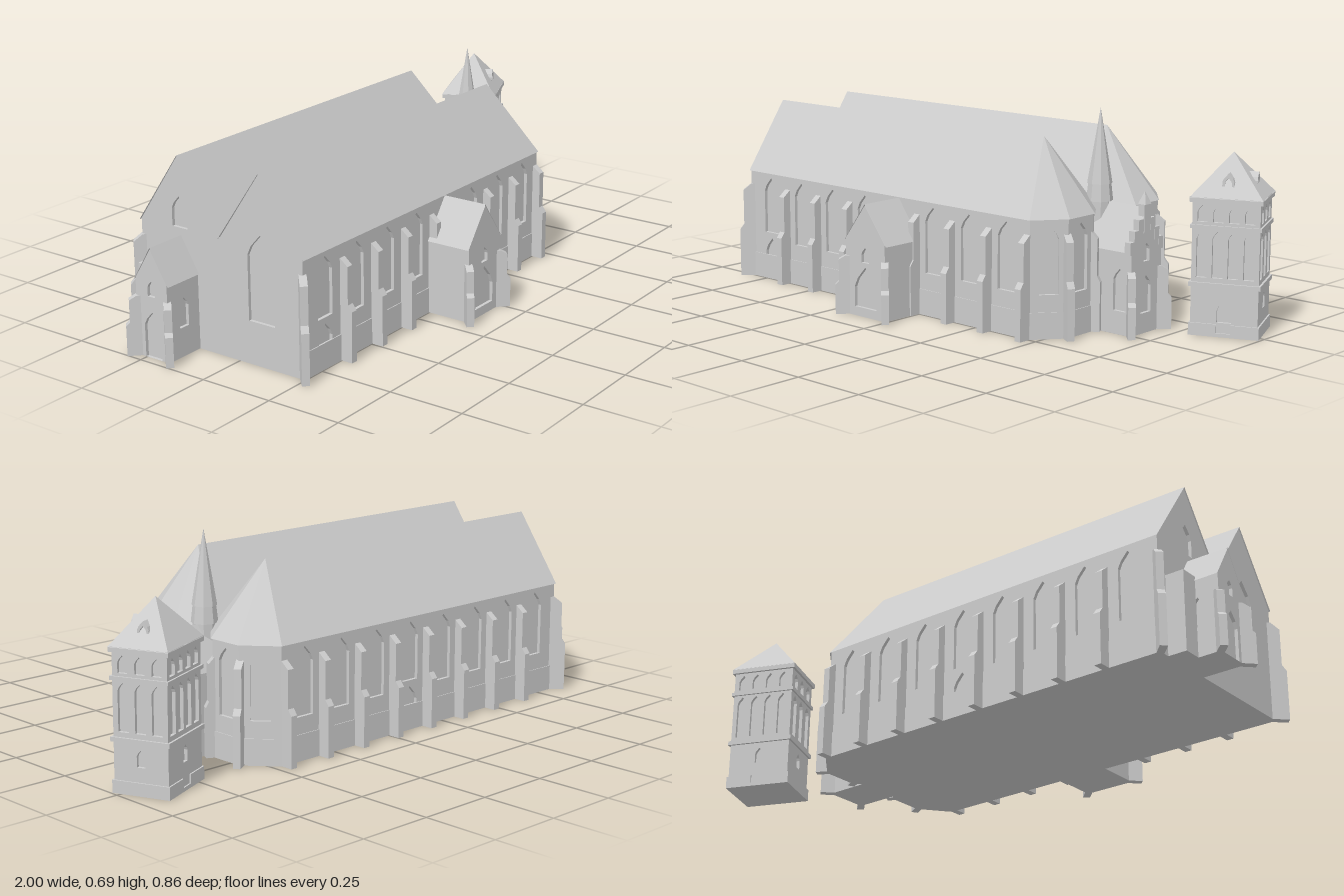
import * as THREE from 'three';

const stone = new THREE.MeshStandardMaterial({ color: 0xcccccc, side: THREE.DoubleSide, flatShading: true });
stone.name = 'grey stone';

function add(parent, name, geo, x = 0, y = 0, z = 0, ry = 0) {
  const m = new THREE.Mesh(geo, stone);
  m.name = name;
  m.position.set(x, y, z);
  m.rotation.y = ry;
  parent.add(m);
  return m;
}
const box = (p, name, w, h, d, x, y, z, ry) => add(p, name, new THREE.BoxGeometry(w, h, d), x, y, z, ry);
const poly = pts => new THREE.Shape(pts.map(p => new THREE.Vector2(p[0], p[1])));
const rect = (w, y0, y1) => [[-w / 2, y0], [w / 2, y0], [w / 2, y1], [-w / 2, y1]];

// Pointed opening: centre, width, sill, tip
function arch(cx, w, y0, y1) {
  const s = y1 - w * 0.7, h = w / 2, b = w * 0.3;
  return [[cx - h, y0], [cx + h, y0], [cx + h, s], [cx + h * 0.72, s + b], [cx, y1], [cx - h * 0.72, s + b], [cx - h, s]];
}

// Wall facing local +z with recessed pointed openings
function wall(p, name, pts, holes, x, z, ry, depth = 0.012, y = 0) {
  const g = new THREE.Group();
  g.name = name;
  const s = poly(pts);
  s.holes = holes.map(poly);
  add(g, 'wallFace', new THREE.ExtrudeGeometry(s, { depth, bevelEnabled: false }), 0, 0, -depth);
  add(g, 'recessedPane', new THREE.ShapeGeometry(poly(pts)), 0, 0, -depth + 0.001);
  g.position.set(x, y, z);
  g.rotation.y = ry;
  p.add(g);
  return g;
}

// Faces given as corner loops, fan triangulated
function faces(list) {
  const v = [];
  for (const f of list) for (let i = 1; i < f.length - 1; i++) v.push(...f[0], ...f[i], ...f[i + 1]);
  const g = new THREE.BufferGeometry();
  g.setAttribute('position', new THREE.Float32BufferAttribute(v, 3));
  g.computeVertexNormals();
  return g;
}

// Stepped buttress leaning outward along (nx, nz)
function buttress(p, x, z, nx, nz, h = 0.33, out = 0.043) {
  const s = poly([[-0.012, 0], [out, 0], [out, h * 0.5], [out * 0.66, h * 0.56], [out * 0.66, h * 0.93], [0, h], [-0.012, h]]);
  const g = new THREE.ExtrudeGeometry(s, { depth: 0.024, bevelEnabled: false });
  g.translate(0, 0, -0.012);
  add(p, 'buttress', g, x, 0, z, Math.atan2(-nz, nx));
}

// Gabled annex: gable at local z = 0, running back to z = -len
function annex(p, name, w, len, eave, ridge, gableHoles, sideHoles, x, z, ry, bh) {
  const g = new THREE.Group();
  g.name = name;
  const h = w / 2, o = 0.005;
  wall(g, 'gable', [[-h, 0], [h, 0], [h, eave], [0, ridge], [-h, eave]], gableHoles, 0, 0, 0);
  for (const s of [-1, 1]) {
    wall(g, 'sideWall', rect(len, 0, eave), sideHoles, s * h, -len / 2, s * Math.PI / 2);
    buttress(g, s * h, 0, s, 1, bh, 0.035);
  }
  add(g, 'roof', faces([
    [[h + o, eave - o, 0], [h + o, eave - o, -len], [0, ridge + o, -len], [0, ridge + o, 0]],
    [[-h - o, eave - o, -len], [-h - o, eave - o, 0], [0, ridge + o, 0], [0, ridge + o, -len]],
  ]));
  add(g, 'floor', new THREE.PlaneGeometry(w, len).rotateX(Math.PI / 2), 0, 0, -len / 2);
  g.position.set(x, 0, z);
  g.rotation.y = ry;
  p.add(g);
  return g;
}

const EAVE = 0.38, RIDGE = 0.61, WEST = -0.83, EAST = 0.47, HALF = 0.157, VALLEY = -0.068;

function church(root) {
  const g = new THREE.Group();
  g.name = 'church';
  root.add(g);
  const zf = VALLEY + 2 * HALF, zb = VALLEY - 2 * HALF, c1 = VALLEY + HALF, c2 = VALLEY - HALF;
  // Plan outline, front wall first, then around the two apses
  const plan = [[WEST, zf], [EAST, zf], [0.545, c1 + 0.062], [0.545, c1 - 0.058], [EAST, VALLEY],
    [0.555, c2 + 0.06], [0.555, c2 - 0.06], [EAST, zb], [WEST, zb]];
  add(g, 'floor', new THREE.ShapeGeometry(poly(plan)).rotateX(Math.PI / 2));
  const mid = (WEST + EAST) / 2;
  const bays = (dir, doorBay, skip) => {
    const holes = [];
    for (let i = 0; i < 8; i++) {
      if (i === skip) continue;
      const x = dir * (-0.725 + 0.157 * i - mid);
      holes.push(arch(x, 0.07, i === doorBay ? 0.165 : 0.14, 0.36));
      if (i === doorBay) holes.push(arch(x, 0.065, 0.03, 0.145));
    }
    return holes;
  };
  for (let i = 0; i < 8; i++) {
    const [a, b] = [plan[i], plan[i + 1]];
    const dx = b[0] - a[0], dz = b[1] - a[1], len = Math.hypot(dx, dz);
    const holes = i === 0 ? bays(1, 0, 4) : i === 7 ? bays(-1, 4, -1)
      : i === 3 || i === 4 ? [] : [arch(0, 0.062, 0.14, 0.357)];
    const w = wall(g, 'naveWall', rect(len, 0, EAVE), holes, (a[0] + b[0]) / 2, (a[1] + b[1]) / 2, Math.atan2(-dz, dx));
    box(w, 'plinth', len, 0.085, 0.006, 0, 0.0425, 0);
  }
  // Double west gable
  const t = zf - VALLEY;
  wall(g, 'westGable', [[-t, 0], [t, 0], [t, EAVE], [HALF, RIDGE], [0, EAVE], [-HALF, RIDGE], [-t, EAVE]],
    [arch(HALF, 0.1, 0.14, 0.42), arch(-HALF, 0.06, 0.38, 0.48)], WEST, VALLEY, -Math.PI / 2);
  // Twin roofs with hipped east ends
  [[c1, 0.55], [c2, 0.56]].forEach(([c, xe]) => {
    const y = EAVE - 0.004, f = c + HALF + 0.005, b = c - HALF - 0.005;
    const R0 = [WEST - 0.004, RIDGE, c], R1 = [0.39, RIDGE, c], Wf = [WEST - 0.004, y, f], Wb = [WEST - 0.004, y, b];
    const Ef = [EAST + 0.003, y, f], Eb = [EAST + 0.003, y, b], C1 = [xe, y, c + 0.062], C2 = [xe, y, c - 0.06];
    add(g, 'naveRoof', faces([[Wf, Ef, R1, R0], [Ef, C1, R1], [C1, C2, R1], [C2, Eb, R1], [Eb, Wb, R0, R1]]));
  });
  // Buttresses along the flanks, at west corners and around the apses
  for (let i = 0; i < 8; i++) {
    const x = -0.64 + 0.157 * i;
    buttress(g, x, zf, 0, 1);
    buttress(g, x, zb, 0, -1);
  }
  buttress(g, WEST, zf, -1, 1);
  buttress(g, WEST, zb, -1, -1);
  buttress(g, 0.54, plan[2][1], 1, 0.6);
  buttress(g, 0.54, plan[3][1], 1, -0.5, 0.32, 0.03);
  buttress(g, 0.55, plan[5][1], 1, 0.5, 0.32, 0.03);
  buttress(g, 0.55, plan[6][1], 1, -0.6);

  // South and west porches, east sacristy
  annex(g, 'southPorch', 0.18, 0.157, 0.25, 0.368, [arch(0, 0.1, 0.03, 0.165), arch(0, 0.035, 0.18, 0.23)],
    [], -0.095, 0.4, 0, 0.195);
  annex(g, 'westPorch', 0.125, 0.145, 0.25, 0.352, [arch(0, 0.065, 0.0, 0.15), arch(0, 0.03, 0.2, 0.25)],
    [arch(0, 0.04, 0.095, 0.19)], -0.97, -0.222, -Math.PI / 2, 0.195);
  box(g, 'westStairBlock', 0.065, 0.26, 0.062, -0.86, 0.13, -0.314);
  const s = annex(g, 'sacristy', 0.15, 0.19, 0.27, 0.395, [arch(0, 0.05, 0.065, 0.185), arch(0, 0.03, 0.23, 0.288)],
    [arch(0.05, 0.05, 0.075, 0.21)], 0.68, -0.065, Math.PI / 2, 0.205);
  // Stepped gable coping and its pinnacle
  for (const d of [-1, 1]) for (let i = 0; i < 3; i++)
    box(s, 'gableStep', 0.022, 0.04, 0.022, d * (0.03 + i * 0.021), 0.345 - i * 0.033, -0.01);
  box(s, 'pinnacleBase', 0.032, 0.09, 0.024, 0, 0.365, -0.01);
  add(s, 'pinnacleTip', new THREE.ConeGeometry(0.021, 0.04, 4, 1).rotateY(Math.PI / 4), 0, 0.43, -0.01);

  // Stair turret with spire
  const px = 0.495, pz = -0.06;
  add(g, 'turretShaft', new THREE.CylinderGeometry(0.037, 0.037, 0.4, 8), px, 0.2, pz);
  add(g, 'turretCornice', new THREE.CylinderGeometry(0.036, 0.043, 0.06, 8), px, 0.43, pz);
  add(g, 'spire', new THREE.ConeGeometry(0.04, 0.24, 8), px, 0.575, pz);
}

function bellTower(root) {
  const g = new THREE.Group();
  g.name = 'bellTower';
  g.position.set(0.857, 0, -0.267);
  g.rotation.y = 0.4;
  root.add(g);
  const W = 0.212, D = 0.177;
  const row = (n, len, w, y0, y1) => Array.from({ length: n }, (_, i) => arch((i - (n - 1) / 2) * len / n * 0.93, w, y0, y1));
  // Four walls of one storey
  const storey = (name, y0, y1, holes) => {
    for (let k = 0; k < 4; k++) {
      const len = k % 2 ? D : W, off = (k % 2 ? W : D) / 2, a = k * Math.PI / 2;
      wall(g, name, rect(len, y0, y1), holes(k, len), Math.sin(a) * off, Math.cos(a) * off, a);
    }
  };
  storey('lowerStorey', 0, 0.165, k => k === 0 ? [arch(0, 0.046, 0.045, 0.115)] : [arch(0, 0.028, 0.085, 0.137)]);
  storey('middleStorey', 0.165, 0.345, (k, len) => row(k % 2 ? 3 : 4, len, 0.034, 0.185, 0.332));
  storey('upperStorey', 0.345, 0.425, (k, len) => row(k % 2 ? 3 : 4, len, 0.032, 0.36, 0.413));
  // Plinth split around the door
  const pw = (W + 0.01 - 0.046) / 2;
  for (const s of [-1, 1]) box(g, 'plinth', pw, 0.04, D + 0.01, s * (0.023 + pw / 2), 0.02, 0);
  box(g, 'doorStep', 0.046, 0.012, D + 0.01, 0, 0.006, 0);
  for (const [y, h, o] of [[0.163, 0.014, 0.014], [0.345, 0.012, 0.012], [0.43, 0.016, 0.016]])
    box(g, 'stringCourse', W + o, h, D + o, 0, y, 0);
  // Pyramid roof
  const a = W / 2 + 0.009, b = D / 2 + 0.009, y = 0.436, tip = [0, 0.57, 0];
  const c = [[-a, y, b], [a, y, b], [a, y, -b], [-a, y, -b]];
  add(g, 'roof', faces(c.map((p, i) => [p, c[(i + 1) % 4], tip])));
  // Dormers
  wall(g, 'dormer', arch(0, 0.038, 0.45, 0.512), [arch(0, 0.022, 0.457, 0.498)], 0, 0.072, 0, 0.04);
  wall(g, 'dormer', arch(0, 0.038, 0.45, 0.512), [arch(0, 0.022, 0.457, 0.498)], 0.08, 0, Math.PI / 2, 0.045);
}

export function createModel() {
  const root = new THREE.Group();
  root.name = 'churchWithBellTower';
  church(root);
  bellTower(root);
  return root;
}
